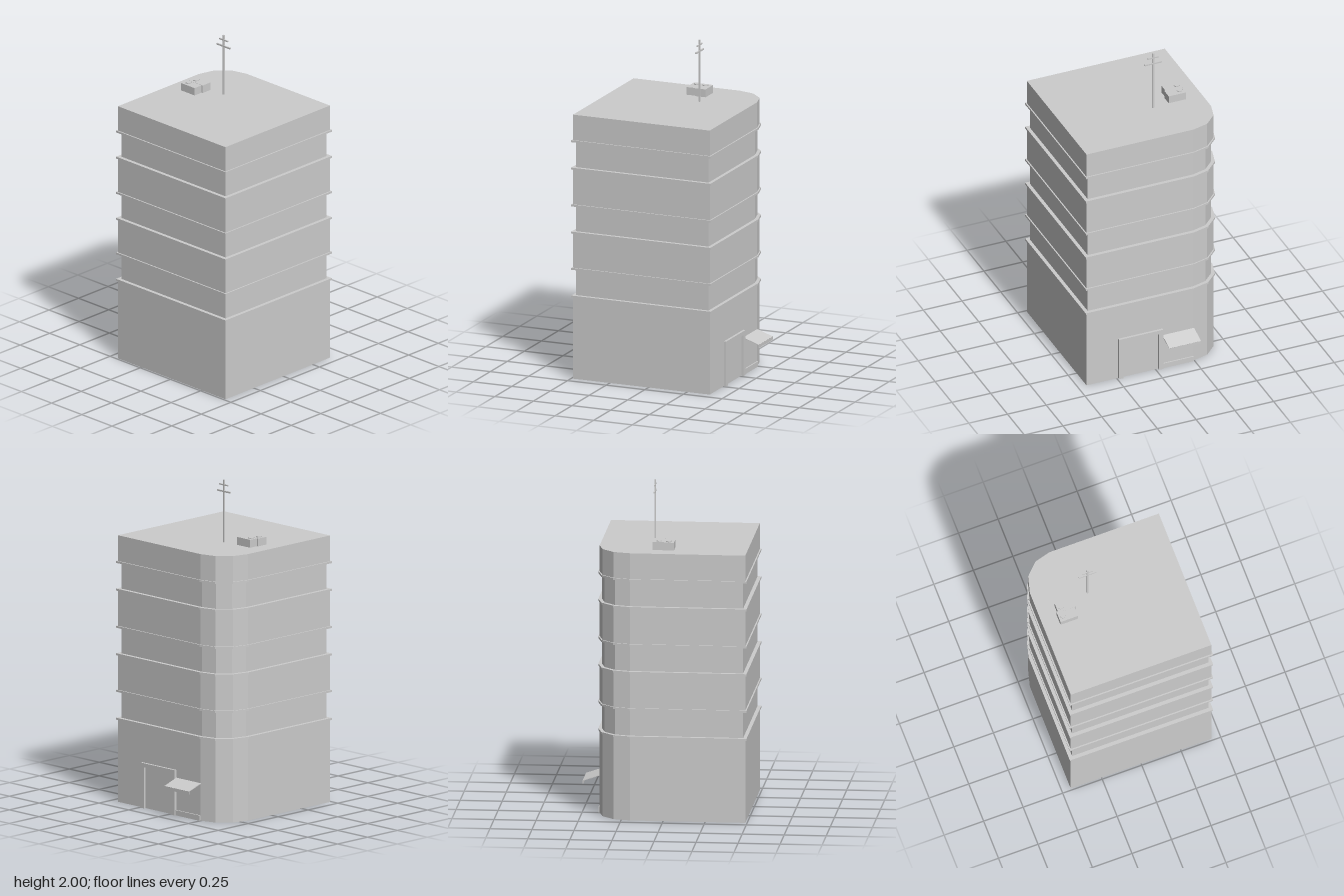
import * as THREE from 'three';

const concrete = new THREE.MeshStandardMaterial({ color: 0xcccccc });
concrete.name = 'concrete grey';

// Floor plan with one faceted round corner at the back, grown outward by d
function plan(d) {
  const shape = new THREE.Shape();
  const cx = -0.247, cz = -0.198, r = 0.198 + d;
  shape.moveTo(-0.445 - d, -0.489 - d);
  shape.lineTo(0.445 + d, -0.489 - d);
  shape.lineTo(0.445 + d, 0.396 + d);
  for (let i = 0; i <= 3; i++) {
    const a = Math.PI / 2 + (i * Math.PI) / 6;
    shape.lineTo(cx + r * Math.cos(a), -cz + r * Math.sin(a));
  }
  return shape;
}

function slab(name, d, y0, y1) {
  const geo = new THREE.ExtrudeGeometry(plan(d), { depth: y1 - y0, bevelEnabled: false });
  geo.rotateX(-Math.PI / 2);
  const mesh = new THREE.Mesh(geo, concrete);
  mesh.position.y = y0;
  mesh.name = name;
  return mesh;
}

// Box given by its lower and upper limits on each axis
function block(name, x0, x1, y0, y1, z0, z1) {
  const mesh = new THREE.Mesh(new THREE.BoxGeometry(x1 - x0, y1 - y0, z1 - z0), concrete);
  mesh.position.set((x0 + x1) / 2, (y0 + y1) / 2, (z0 + z1) / 2);
  mesh.name = name;
  return mesh;
}

function createModel() {
  const building = new THREE.Group();
  building.name = 'officeBuilding';

  // Alternating wide and recessed storeys, with a thin ledge at each change
  const levels = [0, 0.505, 0.675, 0.897, 1.064, 1.29, 1.458, 1.62];
  for (let i = 0; i < levels.length - 1; i++) {
    const wide = i % 2 === 0;
    building.add(slab(wide ? 'wideStorey' : 'recessedStorey', wide ? 0 : -0.014, levels[i], levels[i + 1]));
    if (i > 0) building.add(slab('ledge', 0.008, levels[i] - 0.006, levels[i] + 0.006));
  }

  // Door frame on the back wall
  const door = new THREE.Group();
  door.name = 'doorFrame';
  door.add(
    block('doorPost', -0.045, -0.018, 0, 0.25, -0.411, -0.39),
    block('doorPost', 0.213, 0.24, 0, 0.25, -0.411, -0.39),
    block('doorLintel', -0.045, 0.24, 0.25, 0.275, -0.411, -0.39)
  );
  building.add(door);

  // Low sill and sloping awning beside the door
  building.add(block('sill', -0.247, -0.045, 0, 0.032, -0.404, -0.39));
  const awning = new THREE.Group();
  awning.name = 'awning';
  const drop = 0.034, reach = 0.1;
  const sheet = block('awningSheet', -0.25, -0.045, -0.002, 0.002, -0.053, 0.053);
  sheet.position.set(-0.1475, 0.209, -0.446);
  sheet.rotation.x = -Math.atan2(drop, reach);
  awning.add(sheet, block('awningLip', -0.25, -0.045, 0.174, 0.193, -0.497, -0.493));
  building.add(awning);

  // Two offset air conditioning units with hexagonal fans
  const units = new THREE.Group();
  units.name = 'airConditioners';
  units.add(
    block('airConditioner', -0.338, -0.227, 1.61, 1.668, -0.072, -0.005),
    block('airConditioner', -0.346, -0.235, 1.61, 1.667, -0.013, 0.055)
  );
  for (const [x, z] of [[-0.311, -0.036], [-0.318, 0.022]]) {
    const fan = new THREE.Mesh(new THREE.CylinderGeometry(0.019, 0.019, 0.012, 6).toNonIndexed(), concrete);
    fan.geometry.computeVertexNormals();
    fan.rotation.y = Math.PI / 6;
    fan.position.set(x, 1.667, z);
    fan.name = 'fan';
    units.add(fan);
  }
  building.add(units);

  // Rooftop aerial
  const aerial = new THREE.Group();
  aerial.name = 'aerial';
  aerial.add(
    block('mast', -0.129, -0.12, 1.61, 2, -0.083, -0.074),
    block('lowerCrossbar', -0.18, -0.07, 1.925, 1.934, -0.083, -0.074),
    block('upperCrossbar', -0.16, -0.089, 1.965, 1.973, -0.082, -0.075)
  );
  building.add(aerial);

  return building;
}

export { createModel };
